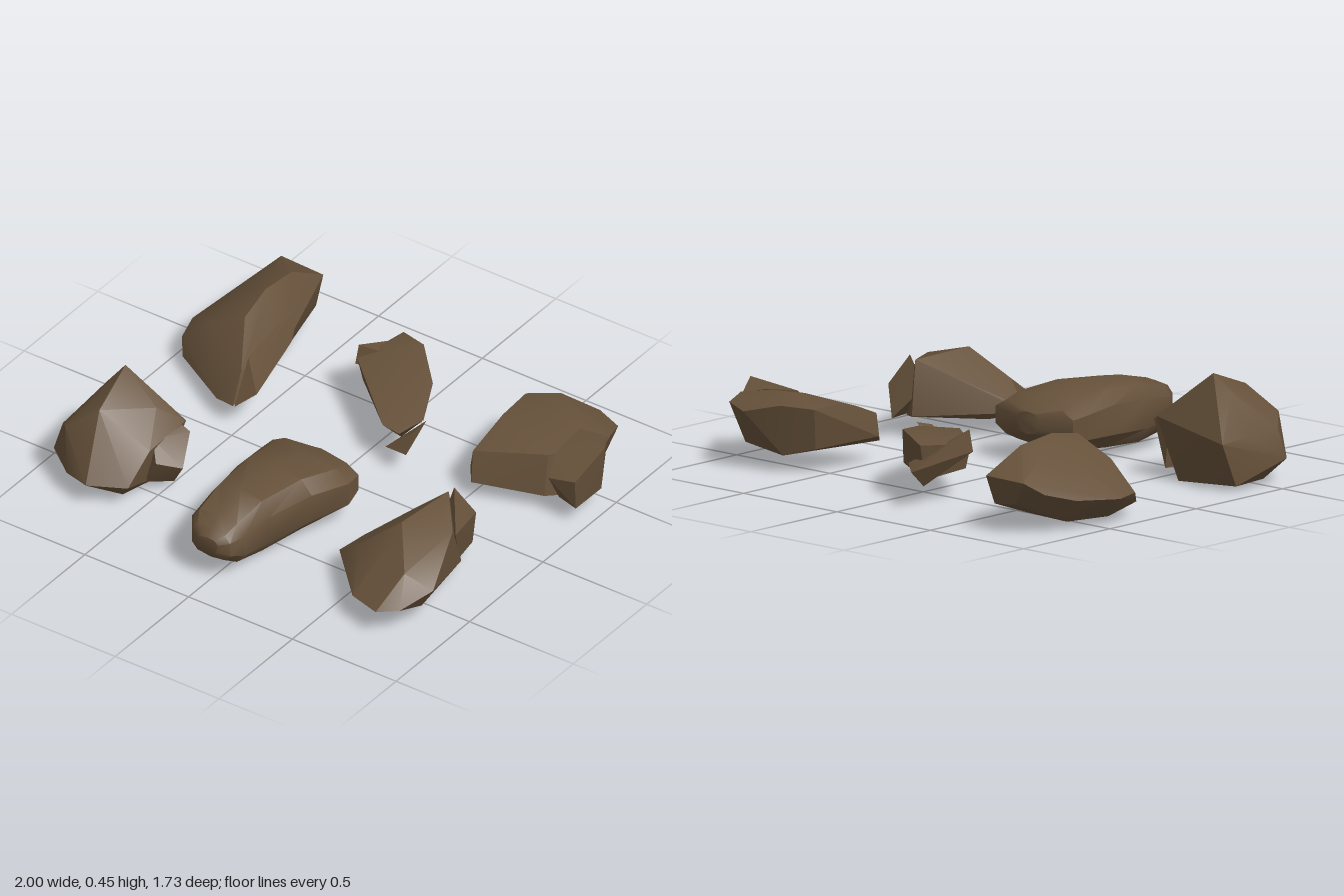
import * as THREE from 'three';
import { toCreasedNormals } from 'three/addons/utils/BufferGeometryUtils.js';
import { ConvexGeometry } from 'three/addons/geometries/ConvexGeometry.js';

const stone = new THREE.MeshStandardMaterial({ color: 0x66513a, side: THREE.DoubleSide });
stone.name = 'brown stone';

// Chipped block: hull around a few corner points [x, y, z]
function chunk(name, points) {
  const hull = new ConvexGeometry(points.map((p) => new THREE.Vector3(...p)));
  const mesh = new THREE.Mesh(toCreasedNormals(hull, 0.45), stone);
  mesh.name = name;
  return mesh;
}

// Rounded boulder: cross-sections [z, xMin, xMax, yMin, yMax] joined along z
function boulder(name, sections, sides = 10) {
  const pos = [], index = [];
  const squash = (v) => Math.sign(v) * Math.pow(Math.abs(v), 0.7);
  for (const [z, x0, x1, y0, y1] of sections) {
    for (let i = 0; i < sides; i++) {
      const a = ((i + 0.5) / sides) * Math.PI * 2;
      pos.push((x0 + x1) / 2 + squash(Math.cos(a)) * (x1 - x0) / 2,
        (y0 + y1) / 2 + squash(Math.sin(a)) * (y1 - y0) / 2, z);
    }
  }
  for (let s = 0; s < sections.length - 1; s++) {
    for (let i = 0; i < sides; i++) {
      const a = s * sides + i, b = s * sides + (i + 1) % sides;
      index.push(a, b, a + sides, b, b + sides, a + sides);
    }
  }
  // End caps
  const last = (sections.length - 1) * sides;
  for (let i = 1; i < sides - 1; i++) {
    index.push(0, i + 1, i, last, last + i, last + i + 1);
  }
  const geo = new THREE.BufferGeometry();
  geo.setAttribute('position', new THREE.Float32BufferAttribute(pos, 3));
  geo.setIndex(index);
  const mesh = new THREE.Mesh(toCreasedNormals(geo, 0.7), stone);
  mesh.name = name;
  return mesh;
}

function rock(name, ...parts) {
  const group = new THREE.Group();
  group.name = name;
  group.add(...parts);
  return group;
}

export function createModel() {
  const model = new THREE.Group();
  model.name = 'rocks';

  // Long ridge rock with a thin sliver along its side
  model.add(rock('backLeftRock',
    chunk('ridgeBody', [
      [-0.87, 0.22, -0.86], [-0.66, 0.22, -0.85], [-0.8, 0.12, -0.83], [-0.66, 0.1, -0.8],
      [-0.92, 0.17, -0.79], [-0.8, 0.28, -0.7], [-0.69, 0.32, -0.68], [-0.96, 0.13, -0.65],
      [-0.62, 0.22, -0.66], [-0.8, 0.28, -0.52], [-0.69, 0.34, -0.5], [-1.0, 0.11, -0.44],
      [-0.54, 0.17, -0.42], [-0.84, 0.23, -0.32], [-0.67, 0.31, -0.33], [-0.96, 0.11, -0.31],
      [-0.92, 0.06, -0.26], [-0.83, 0.08, -0.21], [-0.63, 0.08, -0.08], [-0.53, 0.1, -0.05],
      [-0.56, 0.2, -0.15], [-0.9, 0.02, -0.4], [-0.62, 0.02, -0.22], [-0.65, 0.03, -0.6],
      [-0.88, 0.03, -0.62],
    ]),
    chunk('ridgeSliver', [
      [-0.63, 0.23, -0.66], [-0.53, 0.18, -0.45], [-0.54, 0.24, -0.34], [-0.45, 0.16, -0.1],
      [-0.53, 0.09, -0.06], [-0.57, 0.06, -0.3], [-0.54, 0.26, -0.17],
    ])));

  // Narrow slab, with a small splinter at each end
  model.add(rock('backMiddleRock',
    chunk('slabBody', [
      [-0.16, 0.24, -0.69], [-0.22, 0.22, -0.46], [-0.02, 0.27, -0.63], [0.13, 0.23, -0.48],
      [0.22, 0.2, -0.29], [0.1, 0.19, -0.18], [0.18, 0.18, -0.18], [-0.2, 0.12, -0.47],
      [-0.14, 0.09, -0.64], [0.05, 0.12, -0.56], [0.14, 0.11, -0.25], [0.02, 0.1, -0.32],
    ]),
    chunk('backSplinter', [
      [-0.19, 0.15, -0.775], [-0.23, 0.19, -0.46], [-0.22, 0.28, -0.47], [-0.06, 0.15, -0.65],
      [-0.15, 0.07, -0.66],
    ]),
    chunk('frontSplinter', [
      [0.24, 0.21, -0.28], [0.23, 0.19, -0.2], [0.12, 0.1, -0.17], [0.22, 0.1, -0.17],
      [0.19, 0.15, -0.24],
    ])));

  // Broad block with a projecting side piece
  model.add(rock('backRightRock',
    chunk('blockBody', [
      [0.5, 0.27, -0.59], [0.62, 0.28, -0.66], [0.66, 0.3, -0.52], [0.78, 0.24, -0.7],
      [0.91, 0.25, -0.64], [0.94, 0.27, -0.54], [0.82, 0.29, -0.5], [0.51, 0.27, -0.42],
      [0.55, 0.23, -0.29], [0.8, 0.25, -0.32], [0.5, 0.2, -0.23], [0.48, 0.11, -0.24],
      [0.52, 0.08, -0.19], [0.66, 0.07, -0.26], [0.8, 0.07, -0.29], [0.53, 0.1, -0.55],
      [0.64, 0.07, -0.62], [0.86, 0.09, -0.6], [0.9, 0.06, -0.4],
    ]),
    chunk('blockSide', [
      [0.83, 0.29, -0.49], [0.93, 0.27, -0.54], [1.0, 0.305, -0.42], [0.97, 0.09, -0.44],
      [0.97, 0.22, -0.26], [0.96, 0.08, -0.28], [0.85, 0.2, -0.25], [0.82, 0.26, -0.34],
      [0.85, 0.07, -0.32],
    ])));

  // Peaked rock with a low lobe
  model.add(rock('frontLeftRock',
    chunk('peakBody', [
      [-0.75, 0.45, 0.37], [-0.81, 0.37, 0.41], [-0.72, 0.37, 0.59], [-0.58, 0.33, 0.4],
      [-0.9, 0.2, 0.26], [-0.91, 0.21, 0.4], [-0.68, 0.24, 0.31], [-0.5, 0.25, 0.31],
      [-0.94, 0.1, 0.59], [-0.91, 0.22, 0.57], [-0.85, 0.27, 0.64], [-0.8, 0.1, 0.7],
      [-0.68, 0.11, 0.74], [-0.54, 0.1, 0.65], [-0.52, 0.22, 0.53], [-0.9, 0.02, 0.34],
      [-0.88, 0.02, 0.52], [-0.6, 0.02, 0.6], [-0.55, 0.02, 0.4], [-0.6, 0.0, 0.33],
    ]),
    chunk('peakLobe', [
      [-0.55, 0.26, 0.33], [-0.46, 0.23, 0.34], [-0.41, 0.14, 0.46], [-0.49, 0.17, 0.53],
      [-0.54, 0.24, 0.48], [-0.48, 0.03, 0.42], [-0.56, 0.05, 0.52], [-0.53, 0.04, 0.33],
    ])));

  // Smooth tapering boulder
  model.add(boulder('frontMiddleRock', [
    [0.125, -0.04, 0.08, 0.13, 0.22],
    [0.17, -0.19, 0.24, 0.09, 0.25],
    [0.25, -0.19, 0.25, 0.05, 0.275],
    [0.42, -0.18, 0.19, 0.03, 0.305],
    [0.62, -0.165, 0.13, 0.02, 0.295],
    [0.77, -0.15, 0.11, 0.05, 0.26],
    [0.84, -0.1, 0.09, 0.1, 0.235],
    [0.87, -0.05, 0.05, 0.14, 0.21],
  ]));

  // Wedge rock with a sharp back spike
  model.add(rock('frontRightRock',
    chunk('wedgeBody', [
      [0.38, 0.1, 0.51], [0.45, 0.16, 0.44], [0.51, 0.21, 0.56], [0.68, 0.32, 0.19],
      [0.62, 0.29, 0.3], [0.66, 0.33, 0.48], [0.77, 0.31, 0.36], [0.82, 0.28, 0.36],
      [0.8, 0.24, 0.66], [0.91, 0.18, 0.62], [0.84, 0.13, 0.75], [0.76, 0.12, 0.8],
      [0.62, 0.12, 0.76], [0.55, 0.1, 0.68], [0.69, 0.09, 0.18], [0.5, 0.07, 0.42],
      [0.56, 0.06, 0.62], [0.73, 0.05, 0.65], [0.84, 0.07, 0.6], [0.79, 0.07, 0.26],
    ]),
    chunk('wedgeSpike', [
      [0.7, 0.34, 0.18], [0.77, 0.22, 0.13], [0.78, 0.27, 0.25], [0.76, 0.08, 0.14],
      [0.82, 0.25, 0.34], [0.78, 0.08, 0.26], [0.68, 0.2, 0.24],
    ])));

  return model;
}
